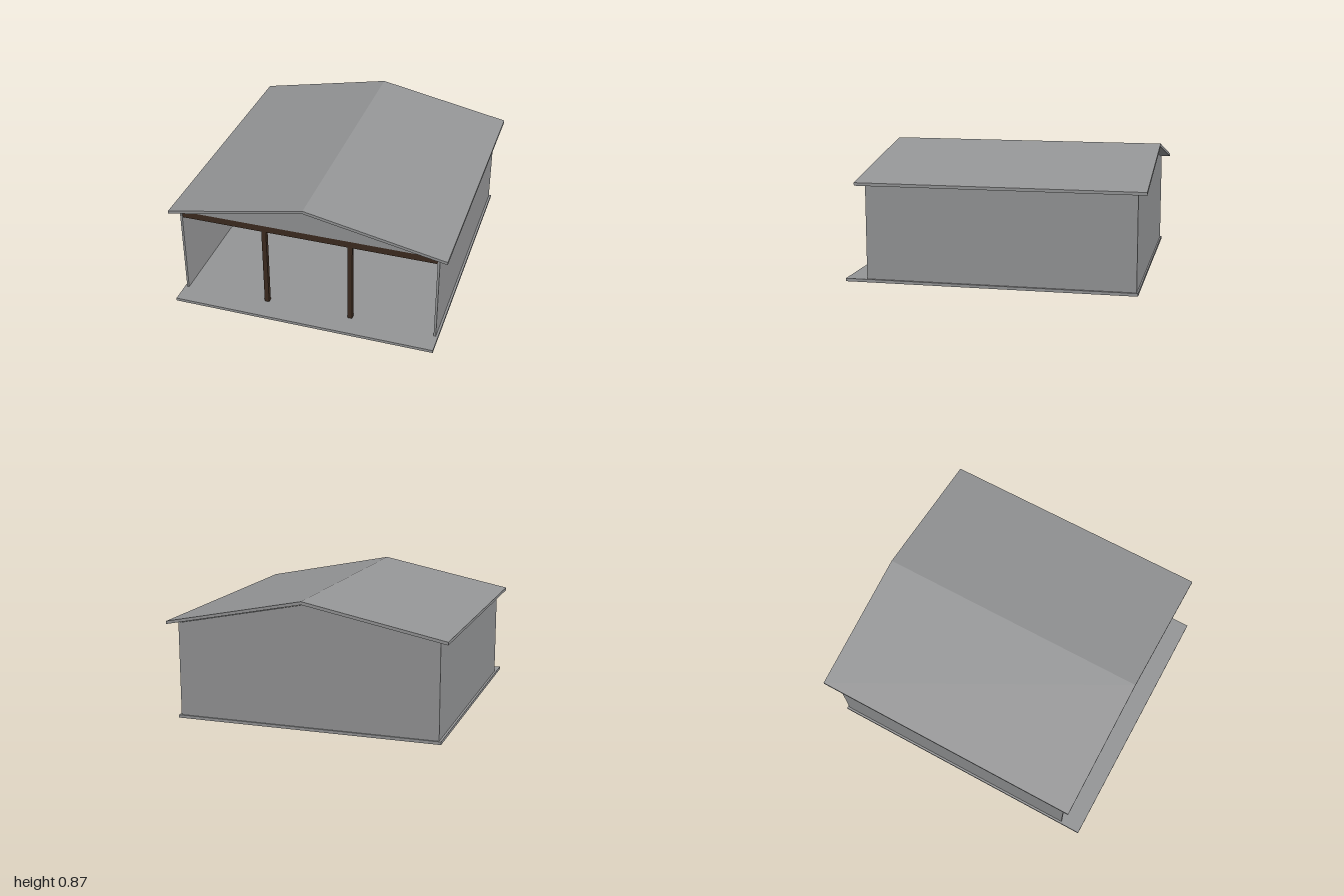
import * as THREE from 'three';

export function createModel() {
  const model = new THREE.Group();
  const material = (name, color) => {
    const m = new THREE.MeshStandardMaterial({ color });
    m.name = name;
    return m;
  };
  const grey = material('concrete grey', 0x949596);
  const wood = material('dark wood', 0x3d2c20);
  const red = material('drum red', 0x9e3828);

  const add = (name, geometry, mat, parent = model) => {
    const mesh = new THREE.Mesh(geometry, mat);
    mesh.name = name;
    parent.add(mesh);
    return mesh;
  };
  // Box given by its minimum and maximum corners
  const box = (name, a, b, mat, parent) => {
    const mesh = add(name, new THREE.BoxGeometry(b[0] - a[0], b[1] - a[1], b[2] - a[2]), mat, parent);
    mesh.position.set((a[0] + b[0]) / 2, (a[1] + b[1]) / 2, (a[2] + b[2]) / 2);
    return mesh;
  };
  // Front outline extruded between two depths
  const slice = (name, points, z0, z1, mat) => {
    const shape = new THREE.Shape(points.map(([x, y]) => new THREE.Vector2(x, y)));
    const geometry = new THREE.ExtrudeGeometry(shape, { depth: z1 - z0, bevelEnabled: false });
    geometry.translate(0, 0, z0);
    return add(name, geometry, mat);
  };

  // Floor slab and side walls
  box('floorSlab', [-0.91, 0, -0.95], [0.91, 0.02, 1], grey);
  for (const side of [-1, 1]) {
    const x = side * 0.8875;
    box(side > 0 ? 'leftWall' : 'rightWall', [x - 0.0075, 0.02, -0.94], [x + 0.0075, 0.665, 0.855], grey);
  }

  // Back wall and front gable, stopping just under the roof
  slice('backWall', [[-0.88, 0.02], [0.88, 0.02], [0.88, 0.66], [0, 0.835], [-0.88, 0.66]], -0.94, -0.925, grey);
  slice('frontGable', [[-0.88, 0.655], [0.88, 0.655], [0.88, 0.66], [0, 0.835], [-0.88, 0.66]], 0.84, 0.855, grey);

  // Pitched roof
  slice('roof', [[-0.955, 0.656], [0, 0.846], [0.955, 0.656], [0.955, 0.676], [0, 0.867], [-0.955, 0.676]],
    -1, 0.91, grey);

  // Front beam and its two posts
  box('frontBeam', [-0.879, 0.605, 0.81], [0.879, 0.655, 0.85], wood);
  for (const x of [-0.3, 0.297]) {
    box('frontPost', [x - 0.016, 0.02, 0.814], [x + 0.016, 0.605, 0.846], wood);
  }

  // Work table
  const table = new THREE.Group();
  table.name = 'table';
  model.add(table);
  box('tableTop', [-0.447, 0.135, -0.72], [-0.09, 0.147, -0.54], wood, table);
  for (const x of [-0.434, -0.105]) {
    for (const z of [-0.707, -0.553]) {
      box('tableLeg', [x - 0.006, 0.02, z - 0.006], [x + 0.006, 0.135, z + 0.006], wood, table);
    }
  }

  // Ribbed drums, in a cluster
  const profile = [[0, 0], [0.043, 0], [0.043, 0.041], [0.046, 0.044], [0.043, 0.047],
    [0.043, 0.087], [0.046, 0.09], [0.043, 0.093], [0.043, 0.135], [0, 0.135]];
  // Separate segments keep the rims and ribs crisp
  const drumPoints = profile.flatMap(([x, y], i) => {
    const p = new THREE.Vector2(x, y);
    return i > 0 && i < profile.length - 1 ? [p, p.clone()] : [p];
  });
  for (const [x, z] of [[0.541, -0.7], [0.629, -0.7], [0.585, -0.79]]) {
    const drum = new THREE.Group();
    drum.name = 'drum';
    drum.position.set(x, 0.02, z);
    model.add(drum);
    for (let i = 0; i < drumPoints.length; i += 2) {
      add('drumSection', new THREE.LatheGeometry(drumPoints.slice(i, i + 2), 24), red, drum);
    }
  }

  return model;
}
